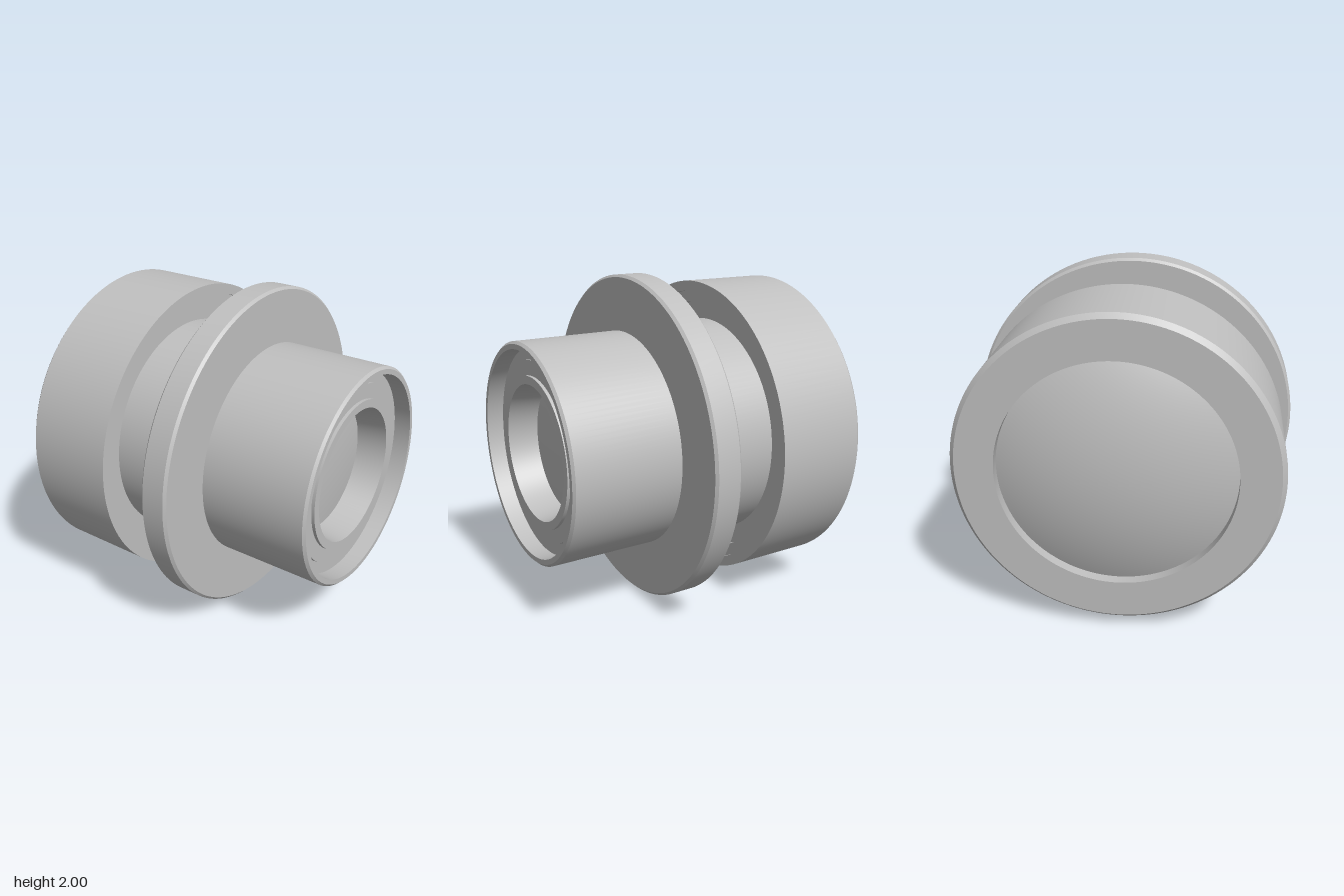
import * as THREE from 'three';
import { toCreasedNormals } from 'three/addons/utils/BufferGeometryUtils.js';

const SEGMENTS = 128;

// Spherical cap profile: from the apex on the axis out to the rim, or reversed.
function cap(apexX, rimX, rimR, steps = 16) {
  const sag = Math.abs(rimX - apexX);
  const R = (rimR * rimR + sag * sag) / (2 * sag);
  const dir = Math.sign(rimX - apexX);
  const pts = [];
  for (let i = 0; i <= steps; i++) {
    const r = (rimR * i) / steps;
    pts.push([apexX + dir * (R - Math.sqrt(R * R - r * r)), r]);
  }
  return pts;
}

export function createModel() {
  const model = new THREE.Group();
  model.name = 'lensBarrel';
  const grey = new THREE.MeshStandardMaterial({ color: 0xbfbfbf });
  grey.name = 'grey';

  // Turn a profile of [x, radius] points around the x axis, running from -x to +x.
  function turned(name, profile) {
    const pts = profile.map(([x, r]) => new THREE.Vector2(r, x));
    let geo = new THREE.LatheGeometry(pts, SEGMENTS);
    geo.rotateZ(-Math.PI / 2);
    geo = toCreasedNormals(geo, Math.PI / 7);
    const mesh = new THREE.Mesh(geo, grey);
    mesh.name = name;
    mesh.position.y = 1;
    model.add(mesh);
  }

  // Large domed lens, set in the recess of the head
  turned('frontLens', cap(-0.915, -0.783, 0.68, 24));

  // Wide head with a chamfered edge and a stepped recess behind
  turned('head', [
    [-0.783, 0.68], [-0.845, 0.68], [-0.845, 0.905], [-0.815, 0.933],
    [-0.265, 0.933], [-0.265, 0.87], [-0.295, 0.87], [-0.295, 0.8],
    [-0.365, 0.8], [-0.365, 0.69],
  ]);

  // Neck between head and flange
  turned('neck', [[-0.365, 0.69], [0.075, 0.69]]);

  // Thin mounting flange
  turned('flange', [
    [0.075, 0.69], [0.075, 0.985], [0.09, 1], [0.23, 1], [0.245, 0.985], [0.245, 0.665],
  ]);

  // Rear barrel with its rim, recess, raised ring and tapering bore
  turned('rearBarrel', [
    [0.245, 0.665], [0.9, 0.665], [0.915, 0.65], [0.915, 0.62],
    [0.81, 0.62], [0.81, 0.55], [0.835, 0.55], [0.835, 0.46],
    [0.855, 0.46], [0.855, 0.41], [0.67, 0.387],
  ]);

  // Small rear lens at the bottom of the bore
  turned('rearLens', cap(0.69, 0.67, 0.387).reverse());

  return model;
}
